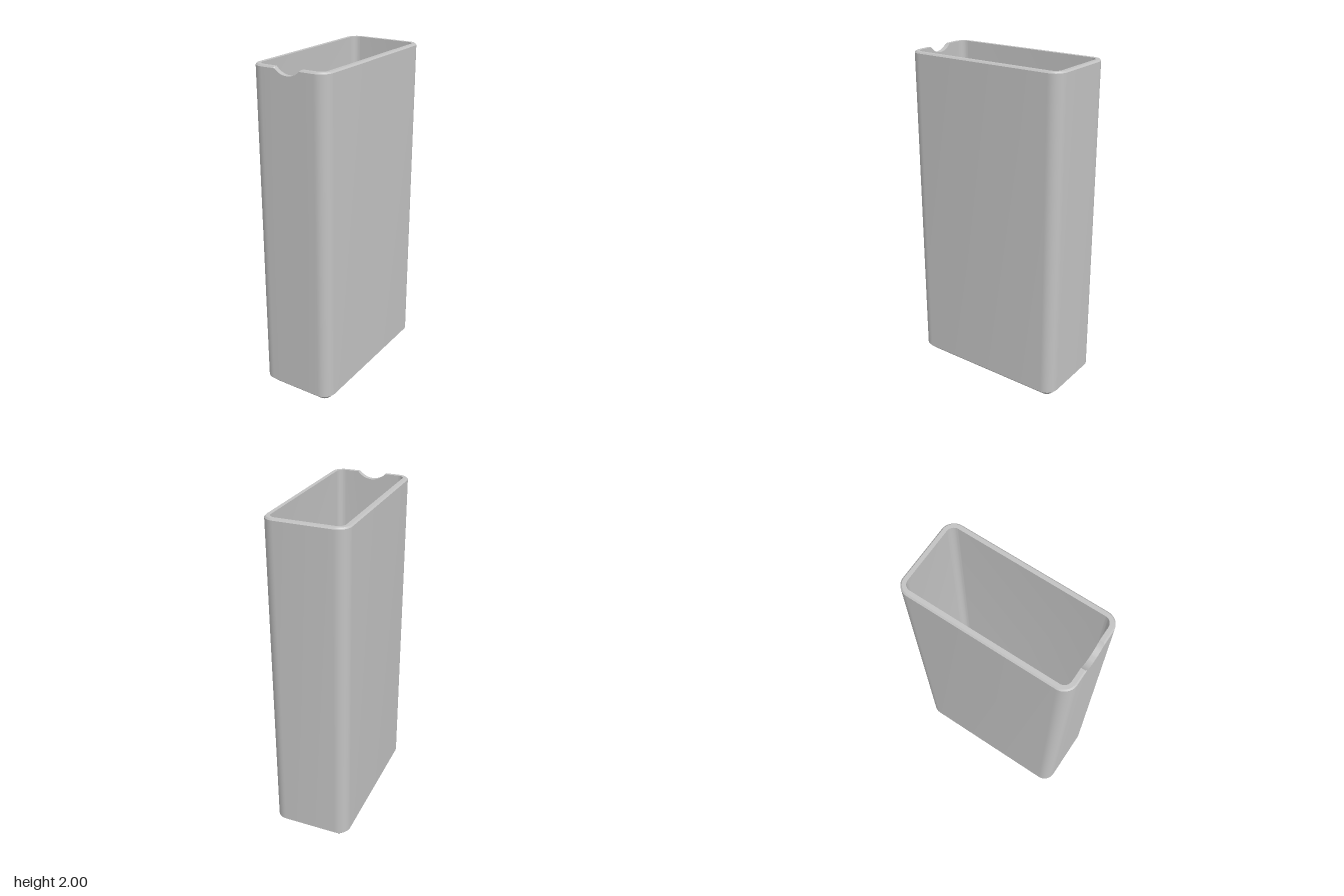
import * as THREE from 'three';
import { toCreasedNormals } from 'three/addons/utils/BufferGeometryUtils.js';

const HALF_X = 0.24, HALF_Z = 0.51, HEIGHT = 2;
const CORNER = 0.075, WALL = 0.031, INNER_CORNER = 0.042;
const BOTTOM_CHAMFER = 0.035, RIM_CHAMFER = 0.008;
const FLOOR = 0.035, FLOOR_FILLET = 0.03;
const NOTCH_R = 0.11, NOTCH_HALF = 0.085, CORNER_STEPS = 10, NOTCH_STEPS = 20;

// Thumb notch: a shallow circular scoop in the front rim
const notchCentreY = HEIGHT + Math.sqrt(NOTCH_R ** 2 - NOTCH_HALF ** 2);
function notchHeight(x) {
  return notchCentreY - Math.sqrt(NOTCH_R ** 2 - x * x);
}

// Rounded rectangle, inset from the outer wall, anticlockwise seen from above
function ring(inset, radius, y) {
  const points = [];
  const hx = HALF_X - inset, hz = HALF_Z - inset;
  const spread = Math.asin(NOTCH_HALF / NOTCH_R);
  for (let i = 0; i <= NOTCH_STEPS; i++) {
    const x = NOTCH_R * Math.sin(spread * (2 * i / NOTCH_STEPS - 1));
    points.push([x, Math.min(y, notchHeight(x)), hz]);
  }
  const corners = [[1, 1], [1, -1], [-1, -1], [-1, 1]];
  corners.forEach(([sx, sz], k) => {
    for (let i = 0; i <= CORNER_STEPS; i++) {
      const a = (k + i / CORNER_STEPS - 1) * Math.PI / 2;
      points.push([
        sx * (hx - radius) + radius * Math.cos(a),
        y,
        sz * (hz - radius) - radius * Math.sin(a),
      ]);
    }
  });
  return points;
}

// Skin the rings in order and close both ends with fans
function skin(rings) {
  const n = rings[0].length, last = (rings.length - 1) * n;
  const positions = rings.flat(2), index = [];
  const start = rings.length * n, end = start + 1;
  positions.push(0, rings[0][n - 1][1], 0, 0, rings[rings.length - 1][n - 1][1], 0);
  for (let i = 0; i < n; i++) {
    const j = (i + 1) % n;
    for (let r = 0; r < rings.length - 1; r++) {
      const a = r * n + i, b = r * n + j;
      index.push(a, b, b + n, a, b + n, a + n);
    }
    index.push(start, j, i, end, last + i, last + j);
  }
  const geometry = new THREE.BufferGeometry();
  geometry.setAttribute('position', new THREE.Float32BufferAttribute(positions, 3));
  geometry.setIndex(index);
  return toCreasedNormals(geometry, Math.PI / 6);
}

export function createModel() {
  const group = new THREE.Group();
  group.name = 'openBox';
  const grey = new THREE.MeshStandardMaterial({ color: 0xc2c2c2 });
  grey.name = 'light grey';

  // Underside, chamfer, outer wall, rim and inner wall
  const rings = [
    ring(BOTTOM_CHAMFER, CORNER - BOTTOM_CHAMFER, 0),
    ring(0, CORNER, BOTTOM_CHAMFER),
    ring(0, CORNER, HEIGHT - RIM_CHAMFER),
    ring(RIM_CHAMFER, CORNER - RIM_CHAMFER, HEIGHT),
    ring(WALL, INNER_CORNER, HEIGHT),
  ];
  // Rounded transition from the inner wall to the floor
  for (let i = 0; i <= 6; i++) {
    const a = i / 6 * Math.PI / 2;
    const shift = FLOOR_FILLET * (1 - Math.cos(a));
    rings.push(ring(WALL + shift, INNER_CORNER - shift,
      FLOOR + FLOOR_FILLET * (1 - Math.sin(a))));
  }

  const shell = new THREE.Mesh(skin(rings), grey);
  shell.name = 'boxShell';
  group.add(shell);
  return group;
}
